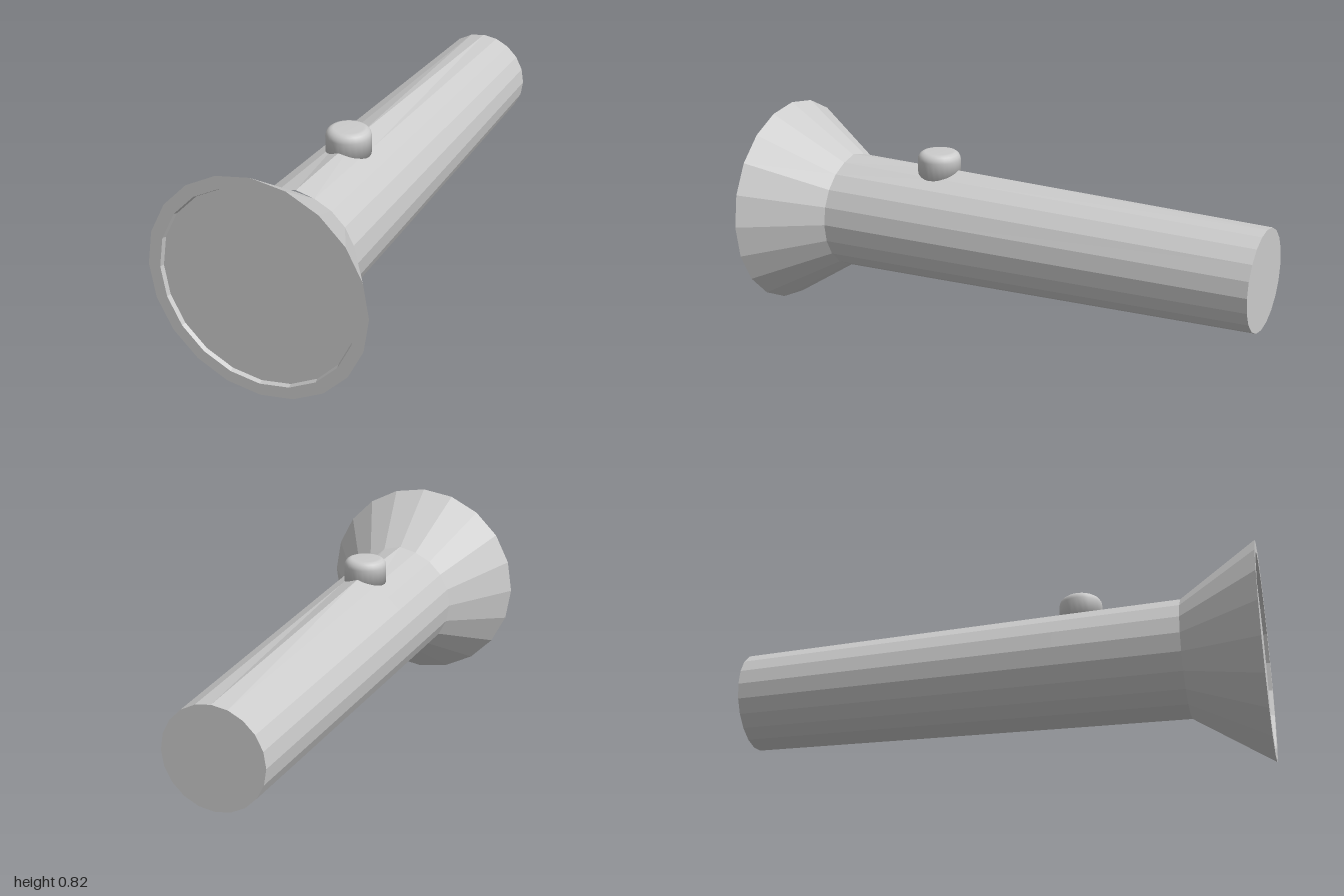
import * as THREE from 'three';

const SIDES = 20;
const AXIS_Y = 0.413; // height of the barrel axis

function lathe(name, points, material, segments = SIDES) {
  const profile = points.map(([r, h]) => new THREE.Vector2(r, h));
  const mesh = new THREE.Mesh(new THREE.LatheGeometry(profile, segments), material);
  mesh.name = name;
  return mesh;
}

export function createModel() {
  const model = new THREE.Group();
  model.name = 'flashlight';
  const flat = new THREE.MeshStandardMaterial({ color: 0xcccccc, flatShading: true });
  const smooth = new THREE.MeshStandardMaterial({ color: 0xcccccc });

  // Parts turned about the long axis, which is laid along z
  const barrel = new THREE.Group();
  barrel.name = 'barrel';
  barrel.rotation.x = Math.PI / 2;
  barrel.position.y = AXIS_Y;
  model.add(barrel);

  // Tapered handle with a closed tail
  const handle = lathe('handle', [[0, -1], [0.19, -1], [0.216, 0.24], [0.225, 0.71]], flat);
  // Raise the top ridge into a level seat under the switch
  const pos = handle.geometry.attributes.position;
  for (let i = 0; i < pos.count; i++) {
    const onTop = Math.abs(pos.getX(i)) < 0.001 && pos.getZ(i) < -0.1;
    if (onTop && pos.getY(i) > 0.2) pos.setZ(i, -0.231);
  }
  barrel.add(handle);

  // Flared head with a flat rim and a shallow recess
  barrel.add(lathe('head', [[0.225, 0.71], [0.41, 1], [0.365, 1], [0.36, 0.985]], flat));
  barrel.add(lathe('lens', [[0.36, 0.985], [0, 0.985]], flat));

  // Round push switch with a softened upper edge
  const profile = [[0, -0.04], [0.083, -0.04], [0.083, 0.035]];
  for (let i = 1; i <= 4; i++) {
    const a = (i / 4) * Math.PI / 2;
    profile.push([0.055 + 0.028 * Math.cos(a), 0.035 + 0.03 * Math.sin(a)]);
  }
  profile.push([0, 0.065]);
  const button = lathe('switchButton', profile, smooth, 24);
  button.position.set(0, 0.645, 0.315);
  model.add(button);

  return model;
}
